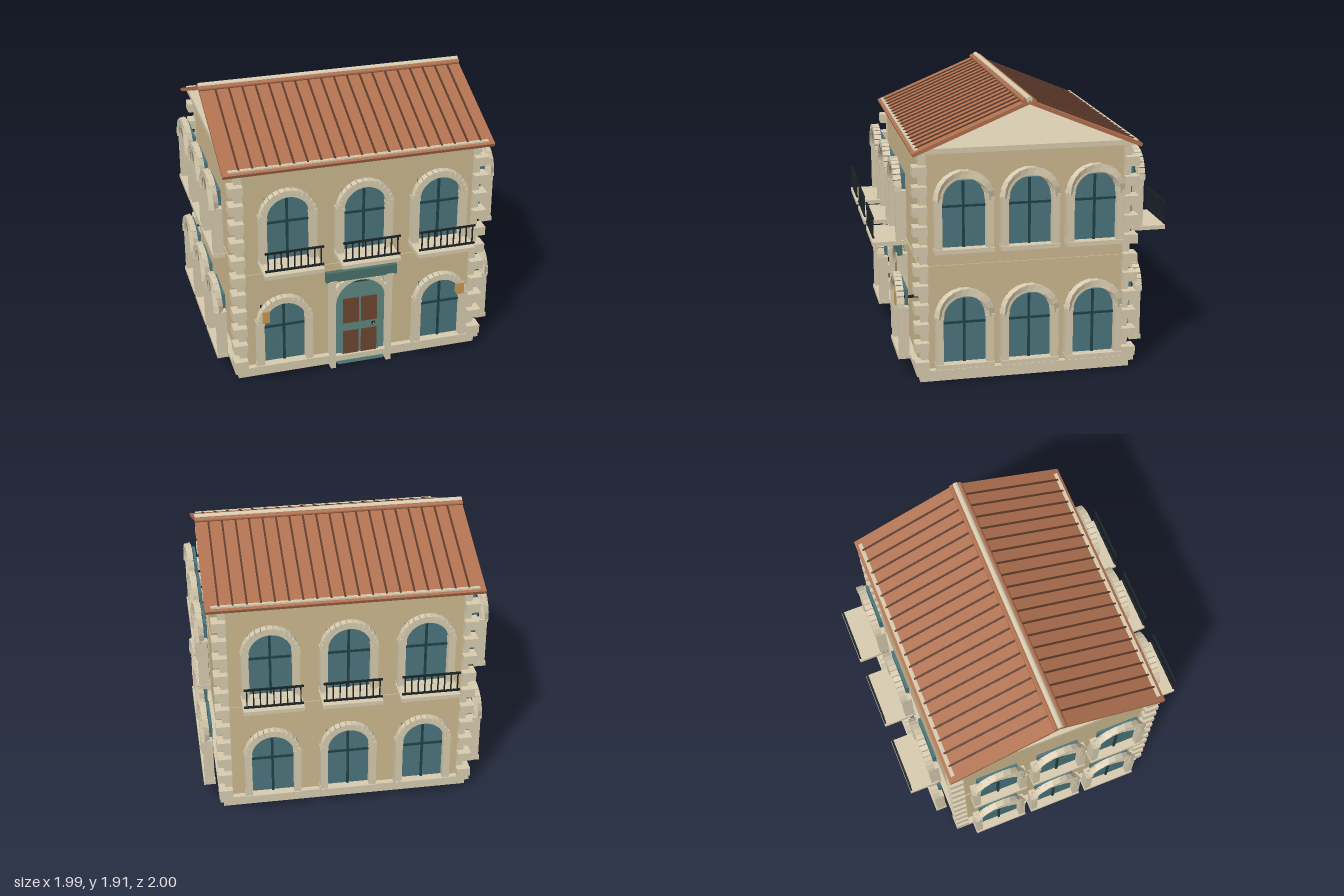
import * as THREE from 'three';

const mat = (color, side = THREE.FrontSide) => new THREE.MeshStandardMaterial({ color, side });
const M = {
  wall: mat(0xcdb98f), stone: mat(0xd8ccb0), roof: mat(0xb0704f), rib: mat(0x5e3b2a),
  glass: mat(0x4a757c), bar: mat(0x1f4248), iron: mat(0x1c2326), teal: mat(0x5f8981),
  sign: mat(0x4a726c), wood: mat(0x6e4630), lamp: mat(0xc99a55),
};

function add(parent, name, geo, material, x = 0, y = 0, z = 0) {
  const mesh = new THREE.Mesh(geo, material);
  mesh.name = name;
  mesh.position.set(x, y, z);
  parent.add(mesh);
  return mesh;
}

// box given by its lower and upper limits on each axis
function box(parent, name, material, x0, x1, y0, y1, z0, z1) {
  return add(parent, name, new THREE.BoxGeometry(x1 - x0, y1 - y0, z1 - z0), material,
    (x0 + x1) / 2, (y0 + y1) / 2, (z0 + z1) / 2);
}

// half ring standing in the xy plane
function archGeometry(inner, outer, depth) {
  const s = new THREE.Shape();
  s.absarc(0, 0, outer, 0, Math.PI, false);
  s.absarc(0, 0, inner, Math.PI, 0, true);
  return new THREE.ExtrudeGeometry(s, { depth, bevelEnabled: false, curveSegments: 20 });
}

// ring of wedge stones; tilted stones lean out of the wall plane
function voussoirs(parent, cy, z, radius, count, size, tilted) {
  for (let i = 0; i < count; i++) {
    const a = (Math.PI * (i + 0.5)) / count;
    const stone = add(parent, 'archStone', new THREE.BoxGeometry(...size), M.stone,
      Math.cos(a) * radius, cy + Math.sin(a) * radius, z);
    stone.rotation.order = 'ZXY';
    stone.rotation.z = a - Math.PI / 2;
    if (tilted) stone.rotation.x = (a - Math.PI / 2) * 0.45;
  }
}

// arched window facing +z, sill bottom at y = 0, back at z = 0
function makeWindow(tilted) {
  const g = new THREE.Group();
  g.name = 'archedWindow';
  const spring = 0.355;
  box(g, 'sill', M.stone, -0.195, 0.195, 0, 0.03, 0, 0.082);
  box(g, 'glass', M.glass, -0.145, 0.145, 0.03, 0.47, 0.002, 0.022);
  box(g, 'mullion', M.bar, -0.008, 0.008, 0.03, 0.47, 0.02, 0.034);
  box(g, 'transom', M.bar, -0.143, 0.143, 0.298, 0.312, 0.02, 0.034);
  for (const s of [-1, 1]) {
    add(g, 'pier', new THREE.BoxGeometry(0.048, spring - 0.03, 0.068), M.stone, s * 0.168, (spring + 0.03) / 2, 0.04);
    add(g, 'impost', new THREE.BoxGeometry(0.054, 0.018, 0.074), M.stone, s * 0.168, spring, 0.042);
  }
  add(g, 'archBand', archGeometry(0.143, 0.172, 0.045), M.stone, 0, spring, 0.03);
  if (tilted) voussoirs(g, spring, 0.056, 0.166, 11, [0.062, 0.05, 0.042], true);
  else voussoirs(g, spring, 0.058, 0.176, 15, [0.034, 0.032, 0.05], false);
  return g;
}

// balcony slab with a front railing, same local frame as the window
function makeBalcony() {
  const g = new THREE.Group();
  g.name = 'balcony';
  box(g, 'slab', M.stone, -0.2, 0.2, 0, 0.028, 0.03, 0.232);
  for (const y of [0.06, 0.19]) box(g, 'rail', M.iron, -0.195, 0.195, y - 0.006, y + 0.006, 0.218, 0.23);
  for (let i = 0; i < 9; i++) {
    const x = -0.176 + i * 0.044;
    box(g, 'baluster', M.iron, x - 0.004, x + 0.004, 0.06, 0.19, 0.22, 0.228);
  }
  return g;
}

function makeDoor() {
  const g = new THREE.Group();
  g.name = 'entrance';
  // arched door panel
  const s = new THREE.Shape();
  s.moveTo(-0.178, 0.03);
  s.lineTo(0.178, 0.03);
  s.lineTo(0.178, 0.52);
  s.absarc(0, 0.52, 0.178, 0, Math.PI, false);
  s.closePath();
  add(g, 'doorSurround', new THREE.ExtrudeGeometry(s, { depth: 0.03, bevelEnabled: false, curveSegments: 20 }), M.teal, 0, 0, 0.7);
  box(g, 'doorLeaf', M.teal, -0.135, 0.135, 0.06, 0.655, 0.73, 0.742);
  box(g, 'doorTransom', M.bar, -0.135, 0.135, 0.652, 0.664, 0.73, 0.746);
  for (const [y0, y1] of [[0.085, 0.27], [0.335, 0.53]])
    for (const c of [-0.066, 0.064]) box(g, 'doorPanel', M.wood, c - 0.056, c + 0.056, y0, y1, 0.74, 0.75);
  box(g, 'handlePlate', M.iron, 0.084, 0.108, 0.293, 0.315, 0.74, 0.752);
  add(g, 'handle', new THREE.SphereGeometry(0.007, 10, 8), M.lamp, 0.096, 0.304, 0.756);
  // frame, arch and columns
  add(g, 'doorArch', archGeometry(0.178, 0.2, 0.05), M.stone, 0, 0.5, 0.715);
  voussoirs(g, 0.5, 0.742, 0.208, 15, [0.036, 0.022, 0.05], false);
  for (const c of [-1, 1]) {
    add(g, 'doorColumn', new THREE.BoxGeometry(0.036, 0.7, 0.08), M.stone, c * 0.2, 0.35, 0.74);
    add(g, 'columnCap', new THREE.BoxGeometry(0.05, 0.022, 0.084), M.stone, c * 0.2, 0.69, 0.742);
  }
  box(g, 'threshold', M.stone, -0.178, 0.178, 0.045, 0.085, 0.71, 0.765);
  box(g, 'step', M.teal, -0.165, 0.165, 0.02, 0.045, 0.71, 0.772);
  box(g, 'signBoard', M.sign, -0.25, 0.25, 0.695, 0.767, 0.744, 0.778);
  return g;
}

function makeRoof() {
  const g = new THREE.Group();
  g.name = 'roof';
  const s = new THREE.Shape();
  [[-0.76, 1.575], [0, 1.89], [0.76, 1.575], [0.752, 1.553], [0, 1.864], [-0.752, 1.553]]
    .forEach(([z, y], i) => (i ? s.lineTo(z, y) : s.moveTo(z, y)));
  s.closePath();
  const slab = new THREE.ExtrudeGeometry(s, { depth: 1.846, bevelEnabled: false });
  slab.translate(0, 0, -0.923).rotateY(Math.PI / 2);
  add(g, 'roofSlopes', slab, M.roof);
  // standing seams down both slopes
  const slope = Math.atan2(0.315, 0.76);
  for (const side of [-1, 1])
    for (let i = -9; i <= 9; i++) {
      const seam = add(g, 'roofSeam', new THREE.BoxGeometry(0.012, 0.014, 0.77), M.rib, i * 0.0915 + 0.01, 1.737, side * 0.37);
      seam.rotation.x = side * slope;
    }
  // ridge tiles
  for (const [z, y, r, m] of [[0, 1.893, 0.021, M.stone], [-0.028, 1.882, 0.018, M.roof], [0.028, 1.882, 0.018, M.roof]])
    add(g, 'ridgeTile', new THREE.CylinderGeometry(r, r, 1.846, 12), m, 0, y, z).rotation.z = Math.PI / 2;
  return g;
}

export function createModel() {
  const house = new THREE.Group();
  house.name = 'townHouse';

  // plinth, storeys, string course and the open attic floor
  box(house, 'plinth', M.stone, -0.86, 0.86, 0, 0.055, -0.72, 0.72);
  box(house, 'plinthCap', M.stone, -0.885, 0.885, 0.05, 0.085, -0.745, 0.745);
  box(house, 'walls', M.wall, -0.84, 0.84, 0.08, 1.565, -0.705, 0.705);
  box(house, 'stringCourse', M.wall, -0.848, 0.848, 0.767, 0.802, -0.713, 0.713);
  box(house, 'atticFloor', M.stone, -0.885, 0.885, 1.56, 1.594, -0.74, 0.74);

  // corner stones, alternately proud and nearly flush
  const pitch = 0.0665;
  for (const sx of [-1, 1])
    for (const sz of [-1, 1])
      for (let i = 0; i < 22; i++) {
        const out = i % 2 ? 0 : 0.045, size = 0.05 + out;
        add(house, 'cornerStone', new THREE.BoxGeometry(size, pitch - 0.003, size), M.stone,
          sx * (0.845 + out - size / 2), 0.085 + pitch * (i + 0.5), sz * (0.71 + out - size / 2));
      }

  // windows and balconies on all four sides
  const sides = [
    { turn: 0, dist: 0.768, lower: [-0.553, 0.553], upper: [-0.52, 0, 0.52], balcony: true },
    { turn: Math.PI, dist: 0.768, lower: [-0.52, 0, 0.52], upper: [-0.52, 0, 0.52], balcony: true },
    { turn: Math.PI / 2, dist: 0.905, lower: [-0.435, 0, 0.435], upper: [-0.435, 0, 0.435] },
    { turn: -Math.PI / 2, dist: 0.905, lower: [-0.435, 0, 0.435], upper: [-0.435, 0, 0.435] },
  ];
  for (const { turn, dist, lower, upper, balcony } of sides) {
    const face = new THREE.Group();
    face.name = 'facade';
    face.rotation.y = turn;
    const place = (part, x, y) => {
      part.position.set(x, y, dist);
      face.add(part);
    };
    for (const x of lower) place(makeWindow(!balcony), x, 0.13);
    for (const x of upper) {
      place(makeWindow(!balcony), x, 0.92);
      if (balcony) place(makeBalcony(), x, 0.92);
    }
    house.add(face);
  }

  // wall lamps beside the front ground floor windows
  for (const s of [-1, 1]) {
    box(house, 'lamp', M.lamp, s * 0.687 - 0.025, s * 0.687 + 0.025, 0.505, 0.59, 0.815, 0.86);
    box(house, 'lampBracket', M.iron, s * 0.687 - 0.008, s * 0.687 + 0.008, 0.54, 0.556, 0.705, 0.82);
  }

  house.add(makeDoor(), makeRoof());
  return house;
}
